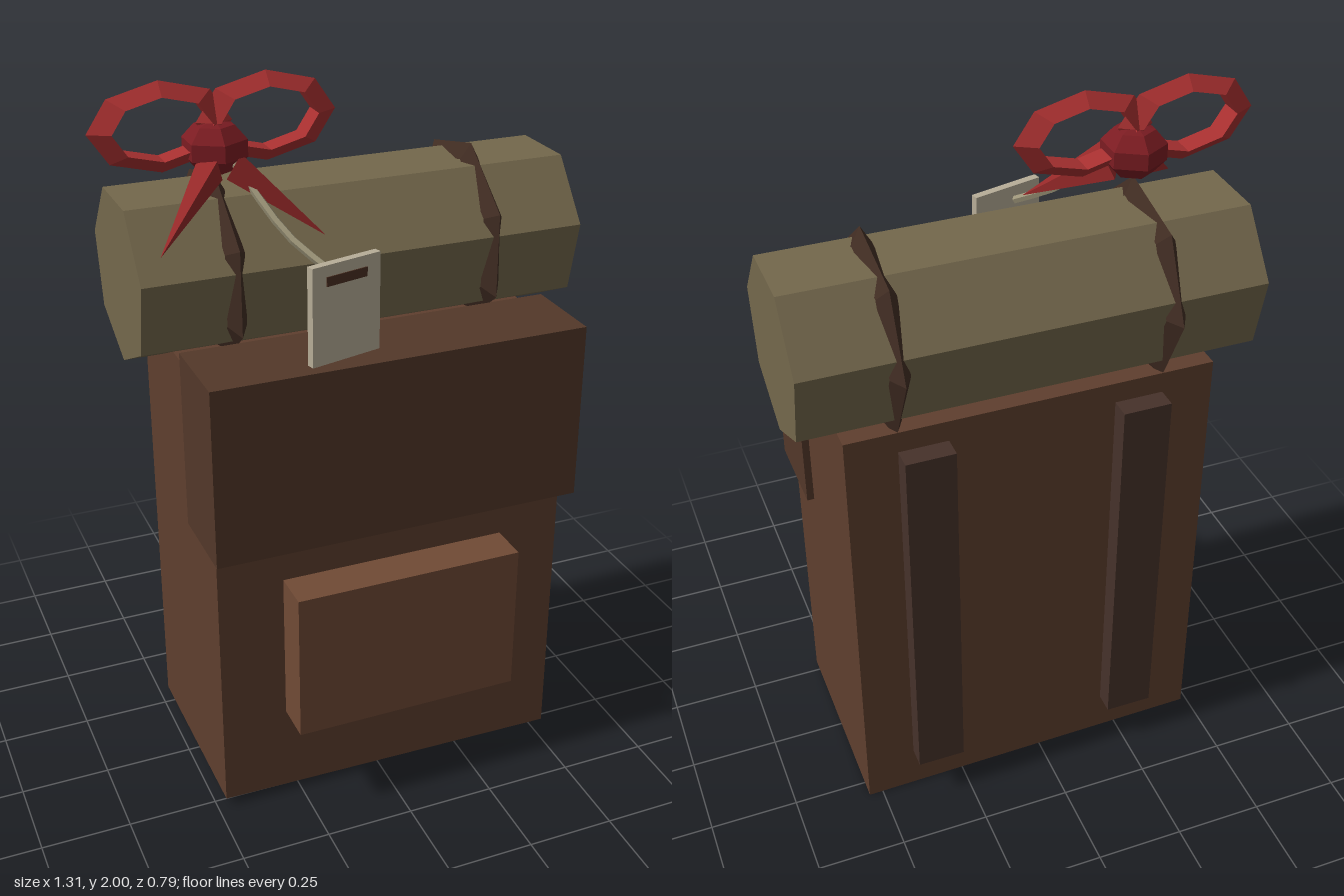
import * as THREE from 'three';

const mat = (color) => new THREE.MeshStandardMaterial({ color, flatShading: true });
const M = {
  body: mat(0x5f3f2e), flap: mat(0x533829), pocket: mat(0x704a35), strap: mat(0x46322a),
  roll: mat(0x74684c), tie: mat(0x402c22), bow: mat(0xa83030), knot: mat(0x7c1c22),
  tail: mat(0x952828), tag: mat(0xb8ae98), cord: mat(0x9c9478), slot: mat(0x4a2f22),
};

export function createModel() {
  const model = new THREE.Group();
  const add = (name, geometry, material, x = 0, y = 0, z = 0) => {
    const mesh = new THREE.Mesh(geometry, material);
    mesh.name = name;
    mesh.position.set(x, y, z);
    model.add(mesh);
    return mesh;
  };
  // Box given by its minimum and maximum corners
  const box = (name, material, [x0, y0, z0], [x1, y1, z1]) =>
    add(name, new THREE.BoxGeometry(x1 - x0, y1 - y0, z1 - z0), material,
      (x0 + x1) / 2, (y0 + y1) / 2, (z0 + z1) / 2);

  // Pack body, its underside lifted a little on the right
  const body = box('packBody', M.body, [-0.475, 0, -0.3], [0.54, 1.29, 0.28]);
  const p = body.geometry.attributes.position;
  for (let i = 0; i < p.count; i++) {
    if (p.getY(i) > 0) continue;
    const front = p.getZ(i) > 0 ? 0.008 : 0;
    p.setY(i, p.getY(i) + front + (p.getX(i) < 0 ? 0.018 : 0));
  }

  // Top flap, front pocket and shoulder straps
  box('topFlap', M.flap, [-0.49, 0.83, 0.085], [0.56, 1.335, 0.335]);
  box('frontPocket', M.pocket, [-0.29, 0.28, 0.2], [0.36, 0.715, 0.395]);
  for (const x of [-0.33, 0.265]) {
    box('shoulderStrap', M.strap, [x, 0.135, -0.358], [x + 0.135, 1.23, -0.28]);
  }

  // Seven-sided bedroll lying across the top
  const roll = new THREE.CylinderGeometry(0.237, 0.237, 1.24, 7, 1, false, Math.PI / 2);
  add('bedroll', roll.rotateZ(-Math.PI / 2), M.roll, 0.035, 1.482, -0.12);

  // Ties around the bedroll
  for (const x of [-0.33, 0.398]) {
    add('bedrollTie', new THREE.TorusGeometry(0.24, 0.031, 3, 7).rotateY(Math.PI / 2),
      M.tie, x, 1.482, -0.12);
  }

  // Bow: two loops, two pointed tails and a knot
  const bow = new THREE.Vector3(-0.328, 1.82, -0.058);
  for (const s of [-1, 1]) {
    const loop = add('bowLoop', new THREE.TorusGeometry(0.15, 0.038, 3, 8), M.bow,
      bow.x + s * 0.14, 1.885, bow.z);
    loop.scale.y = 0.62;
    if (s < 0) loop.rotation.y = Math.PI;

    const base = new THREE.Vector3(bow.x + s * 0.035, 1.775, 0);
    const tip = new THREE.Vector3(bow.x + s * 0.216, 1.625, 0.157);
    const dir = tip.clone().sub(base);
    const tail = add('bowTail', new THREE.ConeGeometry(0.06, dir.length(), 4), M.tail);
    tail.position.copy(base).add(tip).multiplyScalar(0.5);
    tail.quaternion.setFromUnitVectors(new THREE.Vector3(0, 1, 0), dir.normalize());
    tail.scale.z = 0.65;
  }
  const knot = add('bowKnot', new THREE.SphereGeometry(0.09, 6, 5).rotateY(Math.PI / 2),
    M.knot, bow.x, bow.y, bow.z);
  knot.scale.y = 0.8;

  // Cord from the knot down to the tag
  const cord = new THREE.CatmullRomCurve3([
    new THREE.Vector3(-0.3, 1.8, -0.02),
    new THREE.Vector3(-0.21, 1.635, 0.15),
    new THREE.Vector3(-0.13, 1.56, 0.255),
  ]);
  add('tagCord', new THREE.TubeGeometry(cord, 6, 0.011, 5), M.cord);

  // Tag tucked behind the flap edge, with a dark slot mark
  const tag = add('tag', new THREE.BoxGeometry(0.21, 0.29, 0.022), M.tag, -0.108, 1.455, 0.267);
  tag.rotation.y = 0.25;
  const slot = new THREE.Mesh(new THREE.BoxGeometry(0.125, 0.025, 0.006), M.slot);
  slot.name = 'tagSlot';
  slot.position.set(0, 0.102, 0.011);
  tag.add(slot);

  return model;
}
